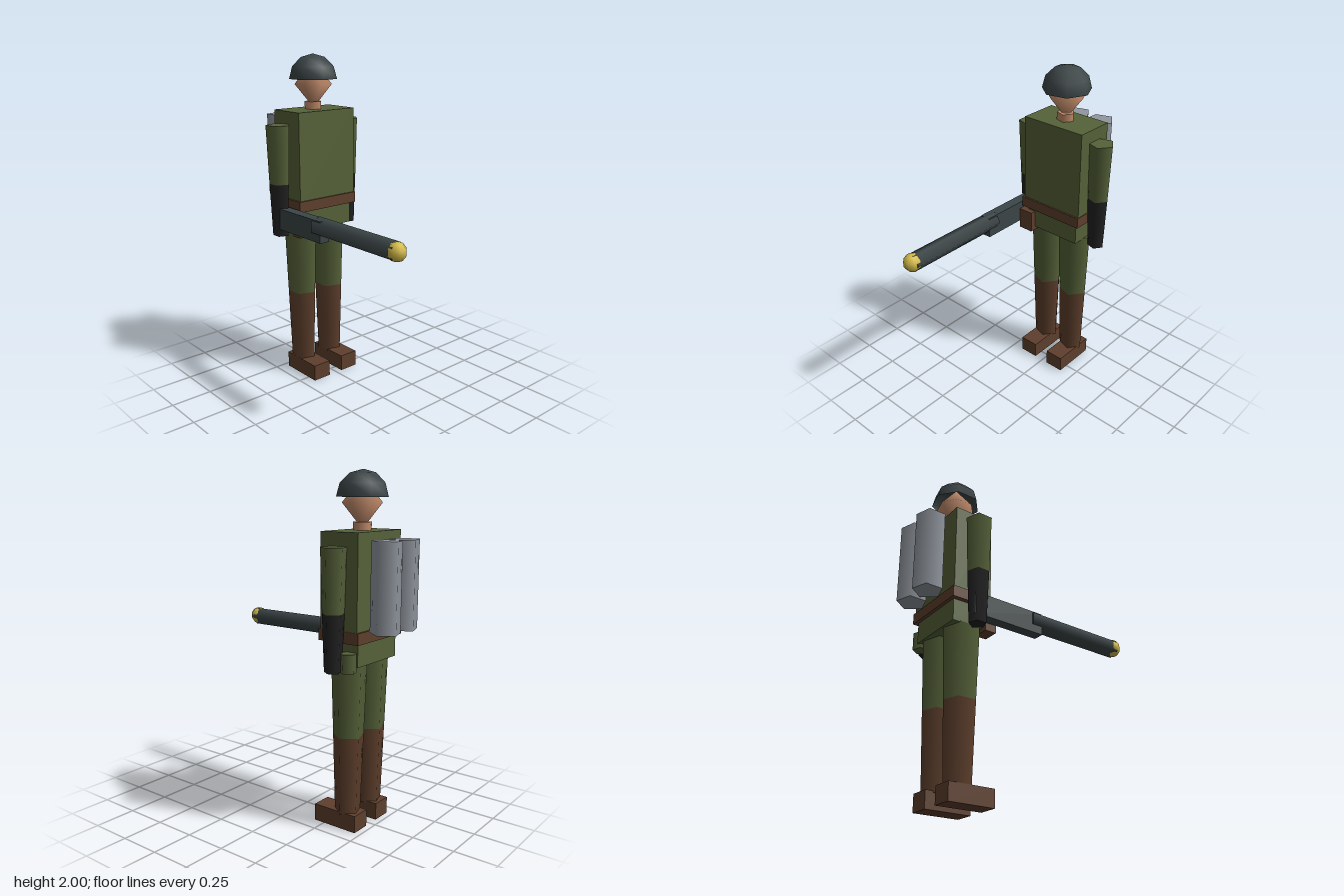
import * as THREE from 'three';

const mat = (name, color, extra = {}) => {
  const m = new THREE.MeshStandardMaterial({ color, ...extra });
  m.name = name;
  return m;
};

export function createModel() {
  const olive = mat('olive cloth', 0x566239);
  const brown = mat('brown leather', 0x5e3f2c);
  const black = mat('black glove', 0x222222);
  const skin = mat('skin', 0xc48d6c);
  const steel = mat('dark steel', 0x3c4547);
  const shell = mat('helmet steel', 0x3c4547, { side: THREE.DoubleSide });
  const grey = mat('tank grey', 0x9298a0);
  const brass = mat('brass', 0xd6bc4a);

  const CX = -0.009, CZ = -0.373; // body axis
  const model = new THREE.Group();
  model.name = 'soldier';

  const add = (name, geometry, material, x, y, z) => {
    const mesh = new THREE.Mesh(geometry, material);
    mesh.name = name;
    mesh.position.set(x, y, z);
    model.add(mesh);
    return mesh;
  };
  // box given by its limits on each axis
  const box = (name, material, [x0, x1], [y0, y1], [z0, z1]) =>
    add(name, new THREE.BoxGeometry(x1 - x0, y1 - y0, z1 - z0), material,
      (x0 + x1) / 2, (y0 + y1) / 2, (z0 + z1) / 2);
  // upright five-sided tube with a corner pointing to +x
  const post = (name, material, rTop, rBottom, y0, y1, x, z) =>
    add(name, new THREE.CylinderGeometry(rTop, rBottom, y1 - y0, 5, 1, false, Math.PI / 2),
      material, x, (y0 + y1) / 2, z);

  // head
  add('helmet', new THREE.SphereGeometry(0.145, 7, 3, Math.PI, Math.PI * 2, 0, Math.PI / 2),
    shell, CX, 1.857, CZ);
  add('head', new THREE.SphereGeometry(0.113, 7, 2, Math.PI).scale(1, 1.25, 1), skin, CX, 1.827, CZ);
  post('neck', skin, 0.053, 0.053, 1.66, 1.725, CX, CZ);

  // trunk
  box('torso', olive, [-0.214, 0.202], [1.12, 1.68], [-0.49, -0.25]);
  box('belt', brown, [-0.226, 0.206], [1.093, 1.158], [-0.502, -0.24]);
  box('hips', olive, [-0.198, 0.178], [0.965, 1.1], [-0.482, -0.264]);
  box('beltPouch', brown, [-0.238, -0.143], [0.94, 1.07], [-0.298, -0.23]);
  post('canteen', olive, 0.05, 0.05, 0.94, 1.045, 0.205, -0.44);

  // limbs and tanks, once per side
  for (const [side, s] of [['left', 1], ['right', -1]]) {
    const armX = CX + s * 0.261, legX = CX + s * 0.107, shoeX = CX + s * 0.109;
    post(side + 'Sleeve', olive, 0.075, 0.063, 1.257, 1.605, armX, CZ);
    post(side + 'Glove', black, 0.063, 0.05, 0.94, 1.257, armX, CZ);
    post(side + 'Trouser', olive, 0.105, 0.091, 0.548, 0.97, legX, CZ);
    post(side + 'BootShaft', brown, 0.091, 0.076, 0.09, 0.548, legX, CZ);
    box(side + 'Shoe', brown, [shoeX - 0.06, shoeX + 0.06], [0, 0.1], [-0.465, -0.186]);
    post(side + 'Tank', grey, 0.086, 0.086, 1.15, 1.637, CX + s * 0.087, -0.588);
  }

  // launcher held in the right hand
  box('launcherBody', steel, [-0.303, -0.238], [0.985, 1.113], [-0.412, 0.045]);
  const barrel = post('launcherBarrel', steel, 0.055, 0.055, 0, 0.652, -0.268, 0);
  barrel.rotation.x = Math.PI / 2;
  barrel.position.set(-0.268, 1.07, 0.302);
  add('nozzleTip', new THREE.SphereGeometry(0.054, 8, 5, Math.PI / 8), brass, -0.27, 1.072, 0.623);

  return model;
}
